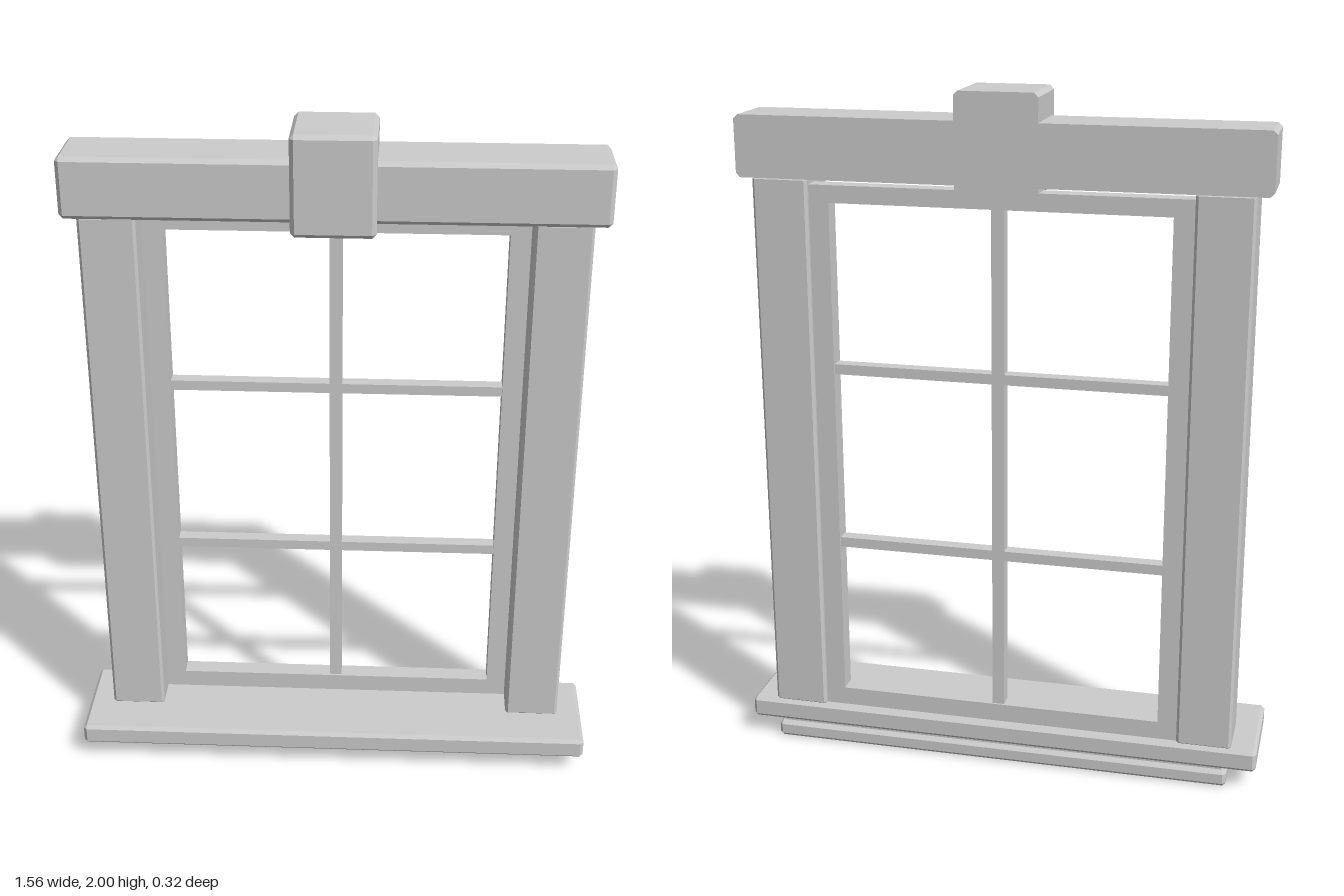
import * as THREE from 'three';
import { ConvexGeometry } from 'three/addons/geometries/ConvexGeometry.js';

const material = new THREE.MeshStandardMaterial({ color: 0xcccccc, flatShading: true });

// Box between two corners with chamfered edges; flatBack leaves the rear rim sharp
function chamferBox([x0, y0, z0], [x1, y1, z1], c, flatBack = false) {
  const points = [];
  for (const [x, sx] of [[x0, 1], [x1, -1]])
    for (const [y, sy] of [[y0, 1], [y1, -1]])
      for (const [z, sz] of [[z0, 1], [z1, -1]]) {
        const cz = flatBack && sz === 1 ? 0 : c;
        points.push(new THREE.Vector3(x, y + sy * c, z + sz * cz));
        points.push(new THREE.Vector3(x + sx * c, y, z + sz * cz));
        if (cz) points.push(new THREE.Vector3(x + sx * c, y + sy * c, z));
      }
  return new ConvexGeometry(points);
}

function rectangle(target, x0, y0, x1, y1) {
  target.moveTo(x0, y0);
  target.lineTo(x1, y0);
  target.lineTo(x1, y1);
  target.lineTo(x0, y1);
  target.closePath();
  return target;
}

export function createModel() {
  const model = new THREE.Group();
  model.name = 'window';
  const add = (name, geometry, parent = model) => {
    const mesh = new THREE.Mesh(geometry, material);
    mesh.name = name;
    parent.add(mesh);
    return mesh;
  };

  // Sill and the narrower apron below it
  add('apron', chamferBox([-0.695, 0, -0.16], [0.695, 0.05, 0.06], 0.01));
  add('sill', chamferBox([-0.78, 0.055, -0.155], [0.78, 0.12, 0.16], 0.01));
  add('sillBed', new THREE.BoxGeometry(1.36, 0.02, 0.19)).position.set(0, 0.0525, -0.05);

  // Side posts
  for (const [name, side] of [['leftPost', 1], ['rightPost', -1]]) {
    const xs = [side * 0.543, side * 0.705].sort((a, b) => a - b);
    add(name, chamferBox([xs[0], 0.115, -0.145], [xs[1], 1.75, 0.025], 0.008));
  }

  // Header and keystone
  add('header', chamferBox([-0.75, 1.745, -0.145], [0.75, 1.92, 0.042], 0.012, true));
  add('keystone', chamferBox([-0.117, 1.715, -0.145], [0.117, 2, 0.077], 0.012, true));

  // Sash frame, set back between the posts
  const sash = new THREE.Group();
  sash.name = 'sash';
  model.add(sash);
  const outline = rectangle(new THREE.Shape(), -0.545, 0.115, 0.545, 1.73);
  outline.holes.push(rectangle(new THREE.Path(), -0.485, 0.175, 0.485, 1.68));
  const frame = add('sashFrame', new THREE.ExtrudeGeometry(outline, { depth: 0.055, bevelEnabled: false }), sash);
  frame.position.z = -0.13;

  // Glazing bars
  add('verticalBar', new THREE.BoxGeometry(0.036, 1.515, 0.042), sash).position.set(0, 0.9275, -0.103);
  for (const y of [0.657, 1.195])
    add('horizontalBar', new THREE.BoxGeometry(0.98, 0.03, 0.04), sash).position.set(0, y, -0.103);

  return model;
}
